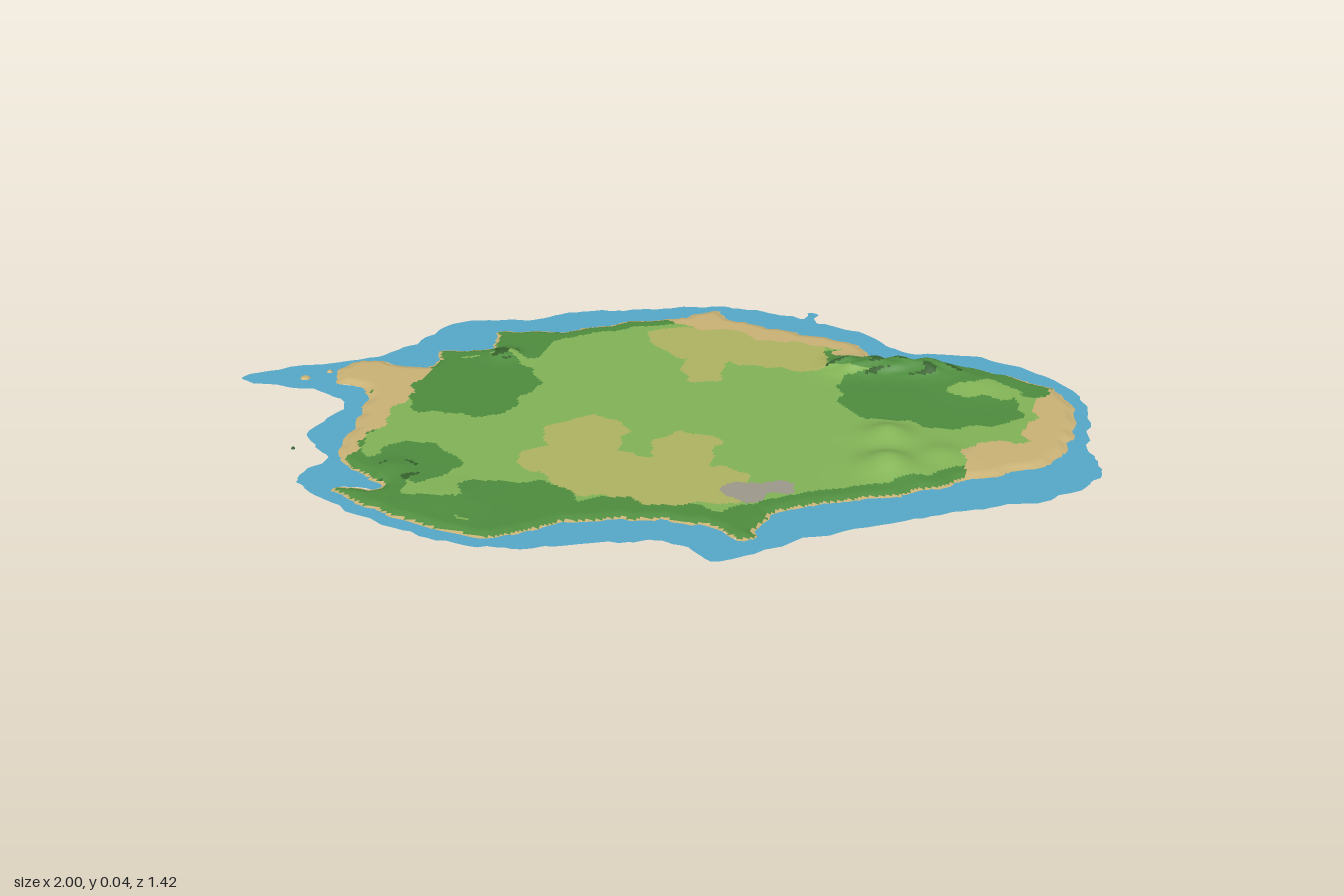
import * as THREE from 'three';

const paint = (name, color) => Object.assign(new THREE.MeshStandardMaterial({ color, side: THREE.DoubleSide }), { name });

// Coast control points as x, z in hundredths of a unit
const WATER = [-100,9, -97,3, -77,-11, -70,-21, -64,-39, -47,-46, -38,-54, -23,-60, -13,-65, -2,-68, 12,-67, 18,-66,
  19,-71, 21,-70, 21,-65, 34,-61, 46,-52, 64,-54, 87,-42, 93,-28, 95,-10, 99,0, 96,10, 89,18, 76,26, 62,36, 45,49,
  30,63, 20,58, 9,61, -8,69, -21,71, -37,68, -58,59, -65,53, -63,42, -72,33, -71,15, -80,10];
const LAND = [-78,-9, -60,-10, -61,-20, -50,-25, -52,-35, -36,-41, -25,-50, -12,-57, -5,-64, 1,-60, 18,-56, 34,-53,
  39,-47, 66,-46, 86,-37, 91,-18, 88,0, 73,13, 62,23, 37,40, 34,54, 26,50, 10,51, -7,59, -15,67, -38,64, -55,56,
  -46,52, -60,42, -65,20, -69,7, -79,3];

// Smooth closed coast, roughened by a few sine waves
function outline(flat, count, wobble) {
  const pts = [];
  for (let i = 0; i < flat.length; i += 2) pts.push(new THREE.Vector3(flat[i], 0, flat[i + 1]).divideScalar(100));
  const curve = new THREE.CatmullRomCurve3(pts, true, 'centripetal');
  return Array.from({ length: count }, (_, i) => {
    const { x, z } = curve.getPoint(i / count);
    return new THREE.Vector2(
      x + wobble * (Math.sin(z * 75) + 0.6 * Math.sin(z * 170 + x * 60)),
      z + wobble * (Math.sin(x * 65 + 1) + 0.6 * Math.sin(x * 150 - z * 50)));
  });
}

function inside(poly, x, z) {
  let hit = false;
  for (let i = 0, j = poly.length - 1; i < poly.length; j = i++) {
    const a = poly[i], b = poly[j];
    if ((a.y > z) !== (b.y > z) && x < (b.x - a.x) * (z - a.y) / (b.y - a.y) + a.x) hit = !hit;
  }
  return hit;
}

// Closest point of a closed outline: [distance, x, z]
function closest(poly, x, z) {
  let best = [Infinity, x, z];
  for (let i = 0, j = poly.length - 1; i < poly.length; j = i++) {
    const a = poly[j], b = poly[i], dx = b.x - a.x, dz = b.y - a.y;
    const t = THREE.MathUtils.clamp(((x - a.x) * dx + (z - a.y) * dz) / (dx * dx + dz * dz + 1e-12), 0, 1);
    const px = a.x + dx * t, pz = a.y + dz * t, d = Math.hypot(x - px, z - pz);
    if (d < best[0]) best = [d, px, pz];
  }
  return best;
}

// Ground cover patches: x, z, half width, half depth in hundredths; later covers lie over earlier ones
const COVER = [
  ['woodland', [[-46, -2, 14, 17], [-45, -30, 9, 9], [57, -24, 21, 14], [62, -40, 26, 8], [38, -42, 9, 8],
    [-44, 40, 10, 9], [-15, 52, 14, 10], [-40, 60, 16, 6], [15, 49, 18, 6], [32, 45, 5, 8]]],
  ['meadow', [[69, -32, 8, 4]]],
  ['dryGrass', [[5, -42, 20, 10], [3, -28, 5, 10], [22, -40, 8, 9],
    [-12, 16, 9, 9], [-10, 29, 12, 9], [5, 34, 22, 10], [11, 18, 7, 10], [22, 32, 7, 8]]],
  ['beach', [[-4, -60, 16, 9], [20, -54, 17, 6], [36, -48, 5, 5], [-75, -3, 14, 10], [-63, 20, 5, 32],
    [80, 5, 10, 13], [87, -20, 6, 22]]],
  ['stone', [[29, 33, 5, 4], [34, 30, 5, 3]]],
];
const inPatch = ([px, pz, w, d], x, z) =>
  Math.abs((x * 100 - px) / w) ** 2.6 + Math.abs((z * 100 - pz) / d) ** 2.6 < 1;

// Hills: x, z, height, radius
const HILLS = [
  [0.55, 0.13, 0.031, 0.058], [0.52, -0.02, 0.025, 0.052], [0.65, 0.04, 0.012, 0.05], [0.67, -0.36, 0.013, 0.07],
  [-0.45, -0.21, 0.017, 0.035], [-0.47, 0.44, 0.008, 0.04], [-0.3, 0.54, 0.006, 0.08],
];
// Gullied ridge in the north-east
const gully = (x, z) => Math.sin(x * 75 + 2 * Math.sin(z * 70)) * Math.cos(z * 45 + x * 20);
const ridge = (x, z) => Math.exp(-(((z + 0.39 + 0.02 * Math.sin(x * 14)) / 0.045) ** 2))
  * THREE.MathUtils.smoothstep(x, 0.26, 0.37) * (1 - THREE.MathUtils.smoothstep(x, 0.52, 0.68));

function heightAt(x, z, shore) {
  let y = 0.007 + ridge(x, z) * (0.026 + 0.006 * gully(x, z));
  for (const [hx, hz, h, r] of HILLS) y += h * Math.exp(-((x - hx) ** 2 + (z - hz) ** 2) / (r * r));
  return 0.001 + y * THREE.MathUtils.smoothstep(shore, 0, 0.025);
}

function coverAt(x, z, shore) {
  if (shore < 0.007) return 'beach';
  const g = gully(x, z);
  if (ridge(x, z) > 0.3 && z > -0.42 && g > 0.45) return 'thicket';
  if (Math.hypot(x + 0.45, z + 0.21) < 0.035 && g > 0.2) return 'thicket';
  if (Math.hypot(x + 0.45, z - 0.45) < 0.05 && g > 0.6) return 'thicket';
  let found = shore < 0.05 ? 'woodland' : 'meadow';
  const wx = x + 0.01 * Math.sin(z * 42 + 1) + 0.005 * Math.sin(z * 95);
  const wz = z + 0.01 * Math.sin(x * 38) + 0.005 * Math.sin(x * 90 + 2);
  for (const [name, patches] of COVER) if (patches.some((p) => inPatch(p, wx, wz))) found = name;
  return found;
}

export function createModel() {
  const island = new THREE.Group();
  island.name = 'island';
  const mats = {
    water: paint('water blue', 0x55a9c9), meadow: paint('meadow green', 0x83b457), woodland: paint('woodland green', 0x4f8d3f),
    beach: paint('sand', 0xcbb377), dryGrass: paint('dry grass', 0xafb462), stone: paint('stone grey', 0x9f998c),
    thicket: paint('thicket green', 0x35602c),
  };
  const add = (name, geometry, material) => {
    const mesh = new THREE.Mesh(geometry, material);
    mesh.name = name;
    island.add(mesh);
    return mesh;
  };

  // Shallow water ring, tucked slightly under the shore
  const coast = outline(LAND, 260, 0.005);
  const flip = (p) => new THREE.Vector2(p.x, -p.y);
  const ring = new THREE.Shape(outline(WATER, 300, 0.004).map(flip));
  ring.holes.push(new THREE.Path(coast.map((p) => flip(p).multiplyScalar(0.99))));
  add('shallowWater', new THREE.ShapeGeometry(ring).rotateX(-Math.PI / 2), mats.water);

  // Terrain grid; points near the coast snap onto it
  const step = 0.0066, x0 = -0.83, z0 = -0.69, nx = 268, nz = 210;
  const positions = [], all = [], parts = {};
  for (let j = 0; j <= nz; j++) for (let i = 0; i <= nx; i++) {
    let x = x0 + i * step, z = z0 + j * step;
    const [d, px, pz] = closest(coast, x, z);
    let shore = inside(coast, x, z) ? d : -d;
    if (d < step * 0.6) { x = px; z = pz; shore = 0; }
    positions.push(x, heightAt(x, z, shore), z);
  }
  for (let j = 0; j < nz; j++) for (let i = 0; i < nx; i++) {
    const x = x0 + (i + 0.5) * step, z = z0 + (j + 0.5) * step;
    if (!inside(coast, x, z)) continue;
    const a = j * (nx + 1) + i, b = a + nx + 1;
    const quad = [a, b, b + 1, a, b + 1, a + 1];
    all.push(...quad);
    (parts[coverAt(x, z, closest(coast, x, z)[0])] ??= []).push(...quad);
  }
  const ground = new THREE.BufferGeometry();
  ground.setAttribute('position', new THREE.Float32BufferAttribute(positions, 3));
  ground.setIndex(all);
  ground.computeVertexNormals();

  // One mesh per ground cover, sharing the smooth terrain normals
  for (const [name, index] of Object.entries(parts)) {
    ground.setIndex(index);
    add(name, ground.toNonIndexed(), mats[name]);
  }

  // Small islets off the west shore
  for (const [x, z, r, cover] of [[-0.86, 0.04, 0.013, 'beach'], [-0.82, -0.01, 0.008, 'beach'], [-0.72, 0.4, 0.005, 'thicket']]) {
    add('islet', new THREE.CylinderGeometry(r * 0.6, r, 0.004, 7), mats[cover]).position.set(x, 0.002, z);
  }
  return island;
}
